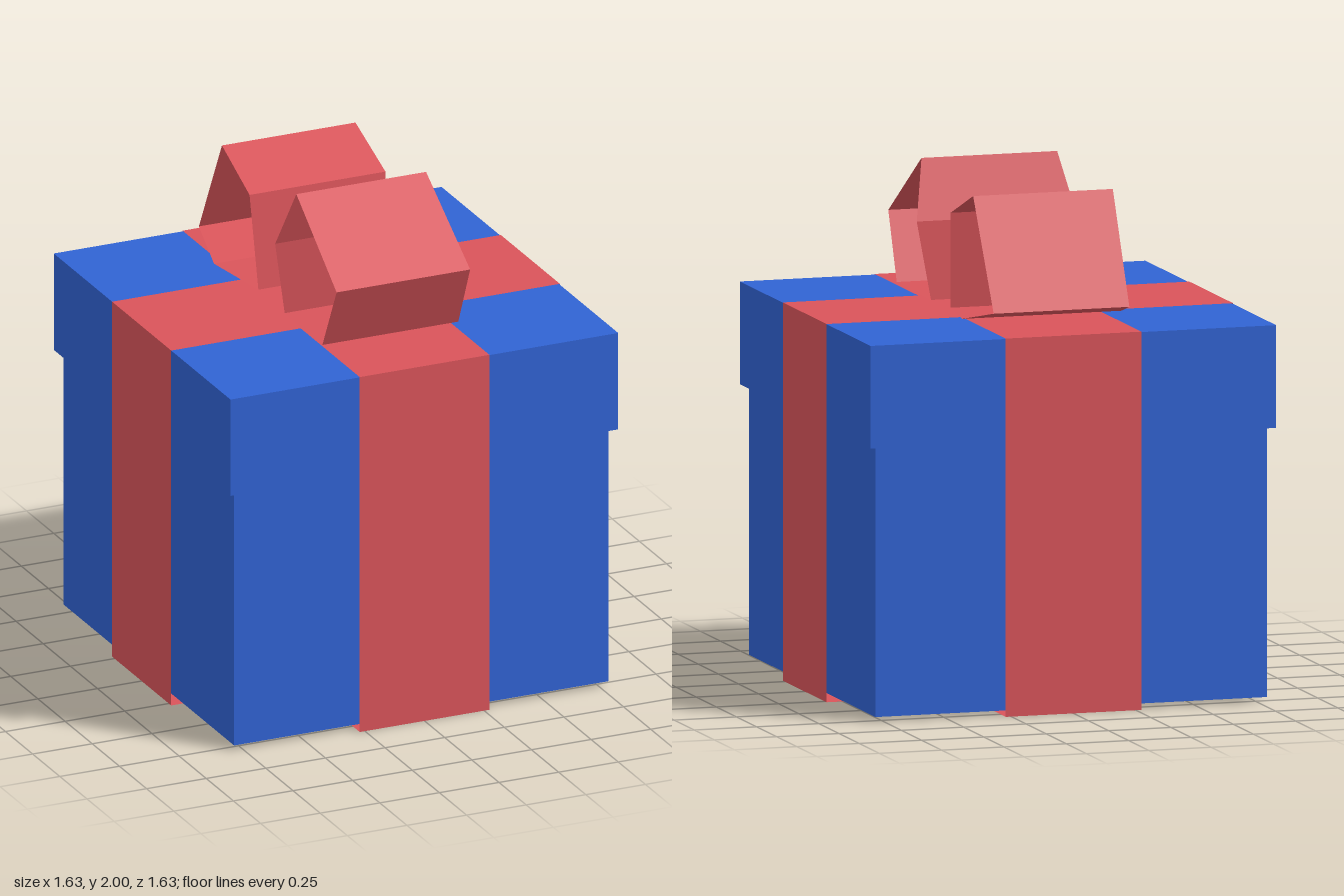
import * as THREE from 'three';

const red = new THREE.MeshStandardMaterial({ color: 0xd9545a, side: THREE.DoubleSide, flatShading: true });
const blue = new THREE.MeshStandardMaterial({ color: 0x3163d3, flatShading: true });

// Closed loop of flat ribbon; each profile point is [z, y, halfWidth]
function ribbon(name, profile) {
  const pos = [];
  profile.forEach(([z0, y0, w0], i) => {
    const [z1, y1, w1] = profile[(i + 1) % profile.length];
    pos.push(-w0, y0, z0, -w1, y1, z1, w0, y0, z0);
    pos.push(w0, y0, z0, -w1, y1, z1, w1, y1, z1);
  });
  const geometry = new THREE.BufferGeometry();
  geometry.setAttribute('position', new THREE.Float32BufferAttribute(pos, 3));
  geometry.computeVertexNormals();
  const mesh = new THREE.Mesh(geometry, red);
  mesh.name = name;
  return mesh;
}

function box(name, width, bottom, top) {
  const mesh = new THREE.Mesh(new THREE.BoxGeometry(width, top - bottom, width), blue);
  mesh.position.y = (bottom + top) / 2;
  mesh.name = name;
  return mesh;
}

export function createModel() {
  const group = new THREE.Group();
  group.name = 'giftBox';

  // Box and overhanging lid
  group.add(box('boxBody', 1.57, 0.02, 1.08), box('lid', 1.626, 1.063, 1.46));

  // Two crossing bands wrapped around the box, flush with the lid
  const h = 0.815, w = 0.272, top = 1.462;
  const band = [[-h, 0, w], [-h, top, w], [h, top, w], [h, 0, w]];
  const sideBand = ribbon('sideBand', band);
  sideBand.rotation.y = Math.PI / 2;
  group.add(ribbon('frontBand', band), sideBand);

  // Bow: one folded five-sided loop standing up in front, one tipped onto its back
  group.add(ribbon('frontBowLoop', [
    [0.12, 1.468, 0.27], [0.142, 1.77, 0.32], [0.232, 2, 0.272], [0.62, 1.74, 0.28], [0.5, 1.48, 0.285],
  ]));
  group.add(ribbon('backBowLoop', [
    [-0.122, 1.475, 0.27], [-0.42, 1.48, 0.32], [-0.665, 1.535, 0.272], [-0.435, 1.955, 0.28], [-0.17, 1.85, 0.285],
  ]));
  return group;
}
